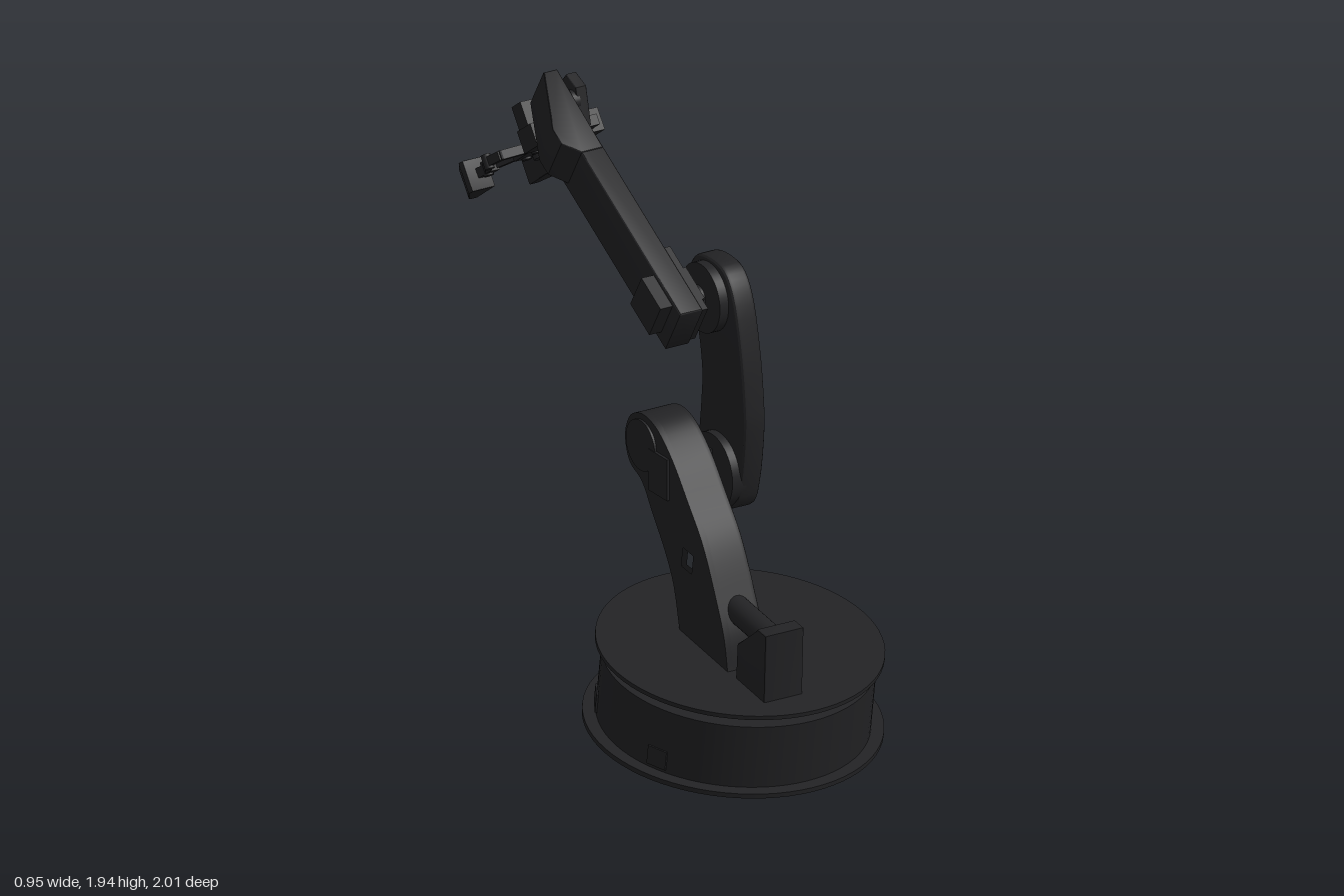
import * as THREE from 'three';
import { toCreasedNormals } from 'three/addons/utils/BufferGeometryUtils.js';

const mat = new THREE.MeshStandardMaterial({ color: 0x222224 });

function add(parent, name, geo, x = 0, y = 0, z = 0) {
  const m = new THREE.Mesh(geo, mat);
  m.name = name;
  m.position.set(x, y, z);
  parent.add(m);
  return m;
}

function frame(parent, name, x, y, z, tilt) {
  const g = new THREE.Group();
  g.name = name;
  g.position.set(x, y, z);
  g.rotation.x = tilt;
  parent.add(g);
  return g;
}

const box = (parent, name, x0, x1, y0, y1, z0, z1) =>
  add(parent, name, new THREE.BoxGeometry(x1 - x0, y1 - y0, z1 - z0), (x0 + x1) / 2, (y0 + y1) / 2, (z0 + z1) / 2);

const disc = (parent, name, r, y0, y1, x = 0, z = 0, n = 72) =>
  add(parent, name, new THREE.CylinderGeometry(r, r, y1 - y0, n), x, (y0 + y1) / 2, z);

// Cylinder lying along x
function axle(parent, name, r, x0, x1, y, z, n = 32) {
  const m = add(parent, name, new THREE.CylinderGeometry(r, r, x1 - x0, n), (x0 + x1) / 2, y, z);
  m.rotation.z = Math.PI / 2;
  return m;
}

function extrude(pts, depth, bevel, hole) {
  const shape = new THREE.Shape(pts);
  if (hole) shape.holes.push(new THREE.Path(hole));
  const geo = new THREE.ExtrudeGeometry(shape, {
    depth: depth - 2 * bevel, bevelEnabled: bevel > 0, bevelSize: bevel, bevelThickness: bevel,
    bevelOffset: -bevel, bevelSegments: 3,
  });
  return toCreasedNormals(geo.translate(0, 0, bevel), 0.5);
}

// Outline in (z, y), extruded from x0 to x1
function side(parent, name, pts, x0, x1, bevel = 0, hole) {
  const flip = p => new THREE.Vector2(-p[0], p[1]);
  const geo = extrude(pts.map(flip), x1 - x0, bevel, hole && hole.map(flip));
  return add(parent, name, geo.rotateY(Math.PI / 2), x0, 0, 0);
}

// Outline in (x, forward distance), extruded from y0 to y1
function plan(parent, name, pts, y0, y1, bevel = 0) {
  const geo = extrude(pts.map(p => new THREE.Vector2(...p)), y1 - y0, bevel);
  return add(parent, name, geo.rotateX(-Math.PI / 2), 0, y0, 0);
}

const spline = (pts, n = 40, closed = false) =>
  new THREE.CatmullRomCurve3(pts.map(p => new THREE.Vector3(p[0], p[1], 0)), closed)
    .getPoints(n).slice(0, closed ? n : n + 1).map(v => [v.x, v.y]);

// Flat bar between two plan points
function bar(parent, name, a, b, y0, y1, w) {
  const dx = b[0] - a[0], dt = b[1] - a[1], len = Math.hypot(dx, dt);
  const m = add(parent, name, new THREE.BoxGeometry(len + w, y1 - y0, w),
    (a[0] + b[0]) / 2, (y0 + y1) / 2, -(a[1] + b[1]) / 2);
  m.rotation.y = Math.atan2(dt, dx);
  return m;
}

// Centre screw with a cross of small screws on the +x face
function screws(parent, x, y, z) {
  axle(parent, 'hubScrew', 0.012, x - 0.01, x + 0.004, y, z, 12);
  for (let i = 0; i < 4; i++)
    for (const r of [0.025, 0.043]) {
      const a = i * Math.PI / 2 + 0.15;
      axle(parent, 'screw', 0.006, x - 0.01, x + 0.004, y + r * Math.sin(a), z + r * Math.cos(a), 8);
    }
}

export function createModel() {
  const root = new THREE.Group();
  root.name = 'robotArm';

  // Tilted drum base and turntable
  const base = frame(root, 'base', 0, 0.084, 0.51, 0.153);
  disc(base, 'flange', 0.476, -0.01, 0.006);
  disc(base, 'drum', 0.434, 0, 0.225);
  disc(base, 'turntableHub', 0.09, 0.22, 0.275, 0.01, -0.02);
  disc(base, 'turntable', 0.457, 0.265, 0.279);
  disc(base, 'bearingCap', 0.1, 0.279, 0.286, 0.005, -0.02);
  for (const a of [-1.15, 2.5, 4.2]) {
    const p = box(base, 'socketPanel', -0.035, 0.035, 0.02, 0.085, -0.008, 0.008);
    p.position.set(0.431 * Math.sin(a), 0.05, 0.431 * Math.cos(a));
    p.rotation.y = a;
  }

  // Counter motor at the front, with its rod into the arm
  side(root, 'motorBlock', [[0.91, 0.535], [0.86, 0.542], [0.835, 0.52], [0.74, 0.45], [0.73, 0.32], [0.9, 0.295]],
    -0.13, 0.012, 0.006);
  const rod = add(root, 'motorRod', new THREE.CylinderGeometry(0.043, 0.043, 0.25, 24), -0.06, 0.5, 0.725);
  rod.rotation.x = Math.PI / 2 + 0.15;

  // Lower arm: side plates round a core set back from the rear edge
  const front = [[0.695, 0.325], [0.67, 0.45], [0.625, 0.56], [0.545, 0.72], [0.46, 0.83], [0.36, 0.95], [0.27, 1.02],
    [0.19, 1.038], [0.12, 1.01], [0.088, 0.933], [0.115, 0.85]];
  const plate = spline([...front, [0.185, 0.81], [0.25, 0.72], [0.315, 0.63], [0.37, 0.53], [0.41, 0.375]], 64);
  const core = spline([...front, [0.25, 0.8], [0.33, 0.7], [0.385, 0.6], [0.43, 0.5], [0.46, 0.37]], 64);
  const win = [[0.49, 0.66], [0.43, 0.668], [0.42, 0.603], [0.48, 0.595]];
  const lower = frame(root, 'lowerArm', 0, 0, 0, 0);
  side(lower, 'armCore', core, -0.115, -0.005, 0, win);
  side(lower, 'rightPlate', plate, -0.135, -0.112, 0, win);
  side(lower, 'leftPlate', plate, -0.01, 0.01, 0.006, win);
  axle(lower, 'shoulderCap', 0.085, -0.143, -0.13, 0.933, 0.19);
  box(lower, 'shoulderServo', -0.145, 0.025, 0.8, 0.94, 0.24, 0.35);
  axle(lower, 'shoulderShaft', 0.04, 0.0, 0.06, 0.847, 0.308);

  // Curved upper arm with bosses at both joints
  const upper = frame(root, 'upperArm', 0, 0, 0, 0);
  const outline = spline([[0.459, 1.02], [0.457, 1.1], [0.432, 1.287], [0.383, 1.464], [0.33, 1.528], [0.25, 1.544],
    [0.17, 1.528], [0.127, 1.475], [0.12, 1.42], [0.168, 1.31], [0.2, 1.15], [0.195, 1.045], [0.18, 0.895],
    [0.187, 0.79], [0.25, 0.725], [0.314, 0.713], [0.4, 0.75], [0.432, 0.83]], 72, true);
  side(upper, 'curvedShell', outline, 0.075, 0.155, 0.014);
  axle(upper, 'shoulderBoss', 0.125, 0.047, 0.1, 0.847, 0.308, 40);
  axle(upper, 'elbowBoss', 0.115, 0.043, 0.1, 1.415, 0.25, 40);
  screws(upper, 0.155, 0.847, 0.308);
  screws(upper, 0.155, 1.415, 0.25);
  for (let i = 0; i < 5; i++)
    box(upper, 'coverRib', 0.15, 0.158, 0.98 + i * 0.07, 0.988 + i * 0.07, 0.3 - i * 0.006, 0.35 - i * 0.006);

  // Forearm, widened near the wrist servo
  const fore = frame(root, 'forearm', 0, 1.415, 0.239, 0.535);
  plan(fore, 'forearmBeam', [[-0.1, -0.096], [-0.015, -0.096], [-0.015, 0.76], [-0.1, 0.76], [-0.1, 0.5]], -0.105, 0.071, 0.008);
  plan(fore, 'wristHousing', [[-0.1, 0.58], [-0.02, 0.58], [-0.015, 0.905], [-0.065, 0.905], [-0.148, 0.69], [-0.148, 0.63]],
    -0.085, 0.074, 0.005);
  box(fore, 'elbowServo', -0.145, 0.02, -0.07, 0.06, -0.08, 0.05);
  box(fore, 'elbowFlange', -0.02, 0.01, -0.09, 0.06, -0.17, 0.09);
  axle(fore, 'elbowShaft', 0.04, 0, 0.06, 0, 0);
  for (const v of [-0.045, 0.03]) axle(fore, 'flangeScrew', 0.01, 0, 0.014, v, -0.14, 12);

  // Wrist pivot and bracket
  axle(root, 'wristShaft', 0.035, -0.03, 0.05, 1.82, -0.5, 24);
  axle(root, 'wristHub', 0.05, -0.02, 0.018, 1.82, -0.5, 24);
  side(root, 'wristBracket', [[-0.48, 1.87], [-0.54, 1.895], [-0.603, 1.823], [-0.58, 1.785], [-0.62, 1.69],
    [-0.56, 1.69], [-0.45, 1.745]], 0.04, 0.08, 0.005);

  // Gripper
  const grip = frame(root, 'gripper', 0.063, 1.68, -0.61, -0.63);
  box(grip, 'gripperBody', -0.125, 0.125, -0.045, 0.03, -0.045, 0.05);
  box(grip, 'palmPlate', -0.08, 0.08, -0.035, 0.0, -0.2, 0.11);
  box(grip, 'gripServo', -0.08, 0.1, 0.04, 0.12, -0.108, -0.045);
  box(grip, 'servoMount', -0.06, 0.08, -0.01, 0.05, -0.105, -0.06);
  disc(grip, 'servoHorn', 0.03, -0.05, 0.012, 0, -0.16, 20);
  for (const s of [-1, 1]) {
    const path = [[0.05, 0.1], [0.165, 0.12], [0.183, 0.18], [0.125, 0.3]];
    for (let i = 0; i < 3; i++)
      bar(grip, 'outerLink', [s * path[i][0], path[i][1]], [s * path[i + 1][0], path[i + 1][1]], -0.034, -0.004, 0.022);
    bar(grip, 'innerLink', [s * 0.045, 0.18], [s * 0.115, 0.29], -0.03, -0.006, 0.02);
    bar(grip, 'fingerStem', [s * 0.12, 0.28], [s * 0.13, 0.36], -0.036, -0.004, 0.035);
    for (const [x, t] of [path[0], path[2], path[3], [0.045, 0.18]])
      disc(grip, 'linkPin', 0.016, -0.042, 0.006, s * x, -t, 16);
    plan(grip, 'finger', [[s * 0.097, 0.335], [s * 0.18, 0.335], [s * 0.182, 0.36], [s * 0.128, 0.464], [s * 0.097, 0.464]],
      -0.073, 0.03, 0.003);
  }
  return root;
}
